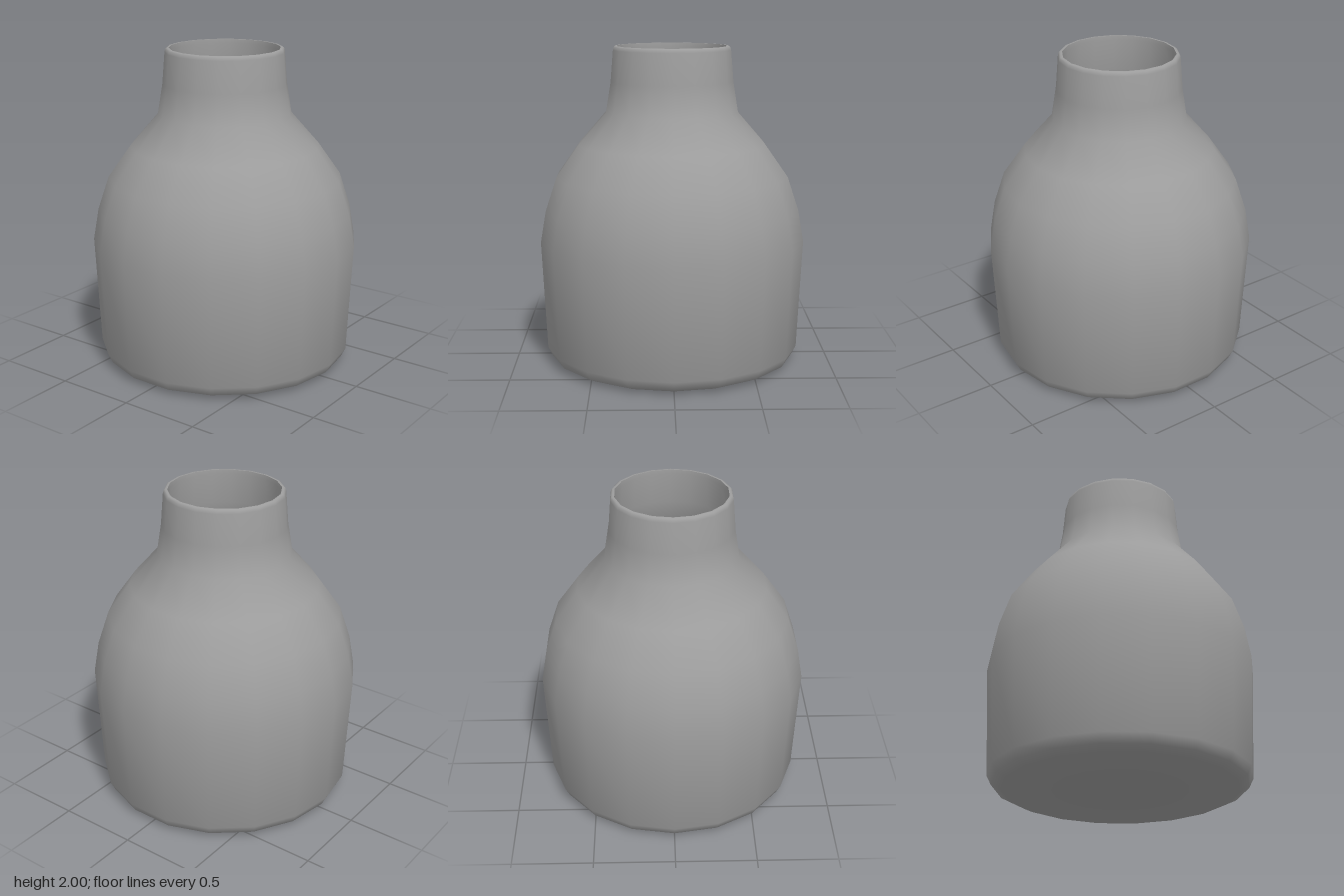
import * as THREE from 'three';

const SIDES = 18;
const WALL = 0.028;

// Smooth normals along the profile: each ring averages its two bands evenly
function smoothRings(geometry, points) {
  const bands = points.slice(1).map((p, i) =>
    new THREE.Vector2(p.y - points[i].y, points[i].x - p.x).normalize());
  const { normal } = geometry.attributes;
  for (let i = 0; i < normal.count; i++) {
    const ring = i % points.length;
    const n = new THREE.Vector2();
    if (ring > 0) n.add(bands[ring - 1]);
    if (ring < bands.length) n.add(bands[ring]);
    n.normalize();
    const angle = Math.PI / 2 + Math.floor(i / points.length) / SIDES * Math.PI * 2;
    normal.setXYZ(i, n.x * Math.sin(angle), n.y, n.x * Math.cos(angle));
  }
}

export function createModel() {
  const group = new THREE.Group();
  group.name = 'bottle';
  const material = new THREE.MeshStandardMaterial({ color: 0x9d9d9d, side: THREE.DoubleSide });

  // Revolve a [radius, height] profile with corners on the x axis
  const addLathe = (name, profile) => {
    const points = profile.map(([r, y]) => new THREE.Vector2(r, y));
    const geometry = new THREE.LatheGeometry(points, SIDES, Math.PI / 2);
    smoothRings(geometry, points);
    const mesh = new THREE.Mesh(geometry, material);
    mesh.name = name;
    group.add(mesh);
  };

  // Side wall from the base up to the neck
  const wall = [
    [0.808, 0.09], [0.84, 0.78], [0.805, 0.98], [0.735, 1.19],
    [0.593, 1.39], [0.418, 1.59], [0.387, 1.78], [0.371, 1.975],
  ];

  // Outer skin: flat base, rounded foot, belly, shoulder, neck and lip
  addLathe('outerBody', [
    [0, 0], [0.715, 0.002], [0.78, 0.033], ...wall, [0.366, 1.994], [0.358, 2], [0.345, 2],
  ]);

  // Inner skin: the same wall set inward, followed down to the floor
  const inner = wall.map(([r, y]) => [r - WALL, y]).reverse();
  addLathe('innerLining', [[0.345, 2], ...inner, [0.72, 0.03], [0, 0.03]]);

  return group;
}
